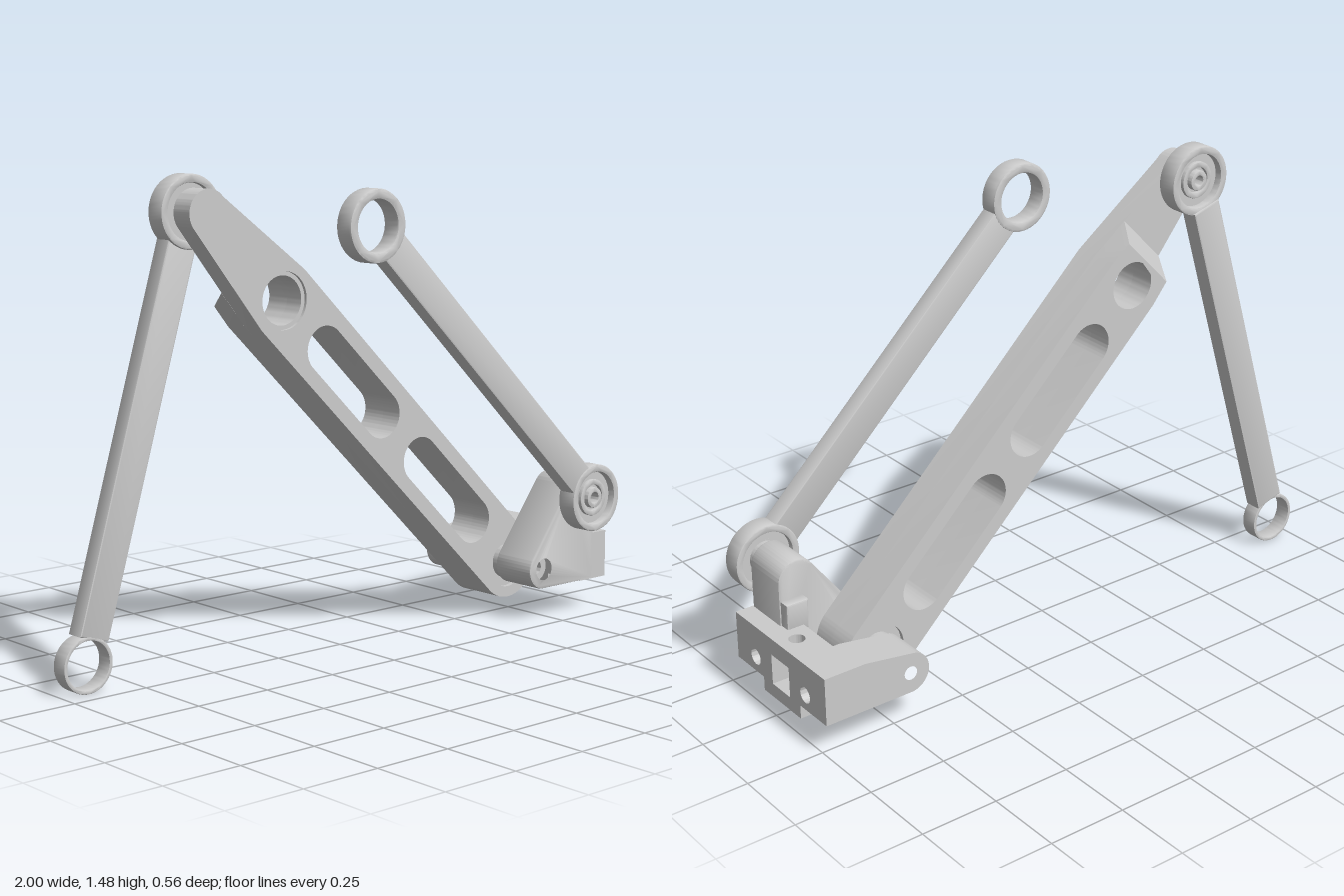
import * as THREE from 'three';
import { toCreasedNormals } from 'three/addons/utils/BufferGeometryUtils.js';

const grey = new THREE.MeshStandardMaterial({ color: 0xcccccc });
const PI = Math.PI;

// Pivot points of the linkage (x, y)
const base = [0.705, 0.175], elbow = [-0.535, 1.375], wrist = [-0.915, 0.09];
const linkLow = [0.875, 0.4], linkHigh = [-0.09, 1.33];

// Extrude a shape from z0 to z1 with an optional small edge bevel
function slab(shape, z0, z1, bevel = 0) {
  const geo = new THREE.ExtrudeGeometry(shape, {
    depth: z1 - z0 - 2 * bevel, curveSegments: 32, bevelEnabled: bevel > 0,
    bevelThickness: bevel, bevelSize: bevel, bevelOffset: -bevel, bevelSegments: 2,
  });
  return geo.translate(0, 0, z0 + bevel);
}

function add(parent, name, geo) {
  const mesh = new THREE.Mesh(toCreasedNormals(geo, 0.5), grey);
  mesh.name = name;
  parent.add(mesh);
  return mesh;
}

const circle = (x, y, r) => new THREE.Path().absarc(x, y, r, 0, 2 * PI, true);

function disc([x, y], r, hole = 0) {
  const s = new THREE.Shape().absarc(x, y, r, 0, 2 * PI, false);
  if (hole) s.holes.push(circle(x, y, hole));
  return s;
}

function rect(x0, y0, x1, y1) {
  return new THREE.Shape().moveTo(x0, y0).lineTo(x1, y0).lineTo(x1, y1).lineTo(x0, y1).closePath();
}

function slot(u0, u1, r) {
  return new THREE.Path().absarc(u0, 0, r, 1.5 * PI, 0.5 * PI, true).absarc(u1, 0, r, 0.5 * PI, -0.5 * PI, true).closePath();
}

// Straight bar between two rings, stopping inside their rims
function bar(a, b, gapA, gapB, halfWidth, z0, z1) {
  const dx = b[0] - a[0], dy = b[1] - a[1];
  const geo = slab(rect(gapA, -halfWidth, Math.hypot(dx, dy) - gapB, halfWidth), z0, z1, 0.005);
  return geo.rotateZ(Math.atan2(dy, dx)).translate(a[0], a[1], 0);
}

function mainArm() {
  const arm = new THREE.Group();
  arm.name = 'mainArm';
  const dx = elbow[0] - base[0], dy = elbow[1] - base[1], L = Math.hypot(dx, dy);
  const cutouts = [slot(0.227, 0.556, 0.073), slot(0.786, 1.108, 0.073)];

  // Front plate runs the whole length and tapers to the elbow
  const front = new THREE.Shape().moveTo(0, -0.12).lineTo(1.34, -0.12).lineTo(L - 0.01, -0.07)
    .absarc(L, 0, 0.07, -PI / 2 + 0.13, PI / 2 - 0.13, false)
    .lineTo(1.34, 0.12).lineTo(0, 0.12).absarc(0, 0, 0.12, PI / 2, 1.5 * PI, false);
  front.holes.push(circle(0, 0, 0.085), circle(1.337, 0, 0.088), ...cutouts);
  add(arm, 'armFront', slab(front, -0.035, 0.04));

  // Thick back part ends in a slope short of the elbow
  const back = new THREE.Shape().moveTo(0, -0.12).lineTo(1.34, -0.12).lineTo(1.485, -0.102)
    .lineTo(1.485, 0.102).lineTo(1.34, 0.12).lineTo(0, 0.12).absarc(0, 0, 0.12, PI / 2, 1.5 * PI, false);
  back.holes.push(circle(0, 0, 0.085), circle(1.337, 0, 0.075), ...cutouts);
  const geo = slab(back, -0.12, -0.035), p = geo.attributes.position;
  for (let i = 0; i < p.count; i++) {
    if (p.getX(i) > 1.45 && p.getZ(i) < -0.1) p.setXY(i, 1.422, p.getY(i) * 1.08);
  }
  add(arm, 'armBack', geo);

  // Hole sleeve and base bearing
  add(arm, 'holeSleeve', slab(disc([1.337, 0], 0.09, 0.075), -0.036, 0.03));
  add(arm, 'bearingWeb', slab(disc([0, 0], 0.086, 0.022), -0.105, 0.025));
  add(arm, 'bearingSpacer', slab(disc([0, 0], 0.055, 0.022), -0.145, 0.055));
  arm.rotation.z = Math.atan2(dy, dx);
  arm.position.set(base[0], base[1], 0);
  return arm;
}

function rearBar() {
  const g = new THREE.Group();
  g.name = 'rearBar';
  add(g, 'elbowRing', slab(disc(elbow, 0.11, 0.085), -0.105, -0.04, 0.005));
  add(g, 'bar', bar(elbow, wrist, 0.092, 0.076, 0.052, -0.11, -0.05));
  add(g, 'wristRing', slab(disc(wrist, 0.085, 0.073), -0.105, -0.05, 0.003));
  add(g, 'elbowBearing', slab(disc(elbow, 0.086, 0.02), -0.08, -0.055));
  add(g, 'elbowBearingRace', slab(disc(elbow, 0.058, 0.04), -0.092, -0.055, 0.003));
  add(g, 'elbowPin', slab(disc(elbow, 0.032, 0.016), -0.1, -0.03, 0.003));
  return g;
}

function frontLink() {
  const g = new THREE.Group();
  g.name = 'frontLink';
  add(g, 'lowerRing', slab(disc(linkLow, 0.11, 0.086), 0.21, 0.275, 0.005));
  add(g, 'bar', bar(linkLow, linkHigh, 0.092, 0.092, 0.053, 0.213, 0.272));
  add(g, 'upperRing', slab(disc(linkHigh, 0.11, 0.078), 0.21, 0.275, 0.008));
  add(g, 'bearingWeb', slab(disc(linkLow, 0.087, 0.02), 0.23, 0.25));
  add(g, 'bearingRace', slab(disc(linkLow, 0.06, 0.042), 0.23, 0.262, 0.003));
  add(g, 'linkPin', slab(disc(linkLow, 0.034, 0.018), 0.2, 0.268, 0.003));
  add(g, 'linkSpacer', slab(disc(linkLow, 0.052), 0.195, 0.235));
  return g;
}

function bracket() {
  const g = new THREE.Group();
  g.name = 'bracket';
  const [ax, ay] = base, [dx, dy] = linkLow, r = 0.065;
  const side = Math.atan2(dy - ay, dx - ax) + PI / 2;

  // Front cheek carries both the arm pivot and the link pivot
  const front = new THREE.Shape().moveTo(ax, ay - r).absarc(ax, ay, r, 1.5 * PI, side, true)
    .absarc(dx, dy, r, side, 0, true).lineTo(0.94, 0.11).closePath();
  front.holes.push(circle(ax, ay, 0.042));
  add(g, 'frontCheek', slab(front, 0.05, 0.205, 0.006));
  add(g, 'frontPinSleeve', slab(disc(base, 0.045, 0.022), 0.05, 0.17));

  // Back cheek
  const back = new THREE.Shape().moveTo(ax, ay - r).absarc(ax, ay, r, 1.5 * PI, 0.56 * PI, true)
    .lineTo(0.86, 0.265).lineTo(0.9, 0.265).lineTo(0.9, 0.11).closePath();
  back.holes.push(circle(ax, ay, 0.022));
  add(g, 'backCheek', slab(back, -0.28, -0.14));

  // Spine: two drilled ends with a square socket between, closed by a top slab
  [[-0.205, -0.01, -0.1], [0.085, 0.28, 0.17]].forEach(([s0, s1, hole]) => {
    const end = rect(s0, 0.11, s1, 0.21);
    end.holes.push(circle(hole, 0.16, 0.026));
    add(g, 'spineEnd', slab(end, 0.88, 1).rotateY(PI / 2));
  });
  const top = rect(0.88, -0.205, 1, 0.28);
  top.holes.push(circle(0.94, 0.04, 0.025));
  add(g, 'spineTop', slab(top, 0.21, 0.265).rotateX(-PI / 2));

  // Foot below the spine and stop lug beside the front cheek
  add(g, 'foot', slab(rect(0.88, -0.06, 1, 0.14), 0.065, 0.11).rotateX(-PI / 2));
  add(g, 'stopLug', slab(rect(0.86, 0.25, 0.935, 0.345), 0.017, 0.06, 0.005));
  return g;
}

export function createModel() {
  const model = new THREE.Group();
  model.name = 'linkageArm';
  model.add(mainArm(), rearBar(), frontLink(), bracket());
  return model;
}
